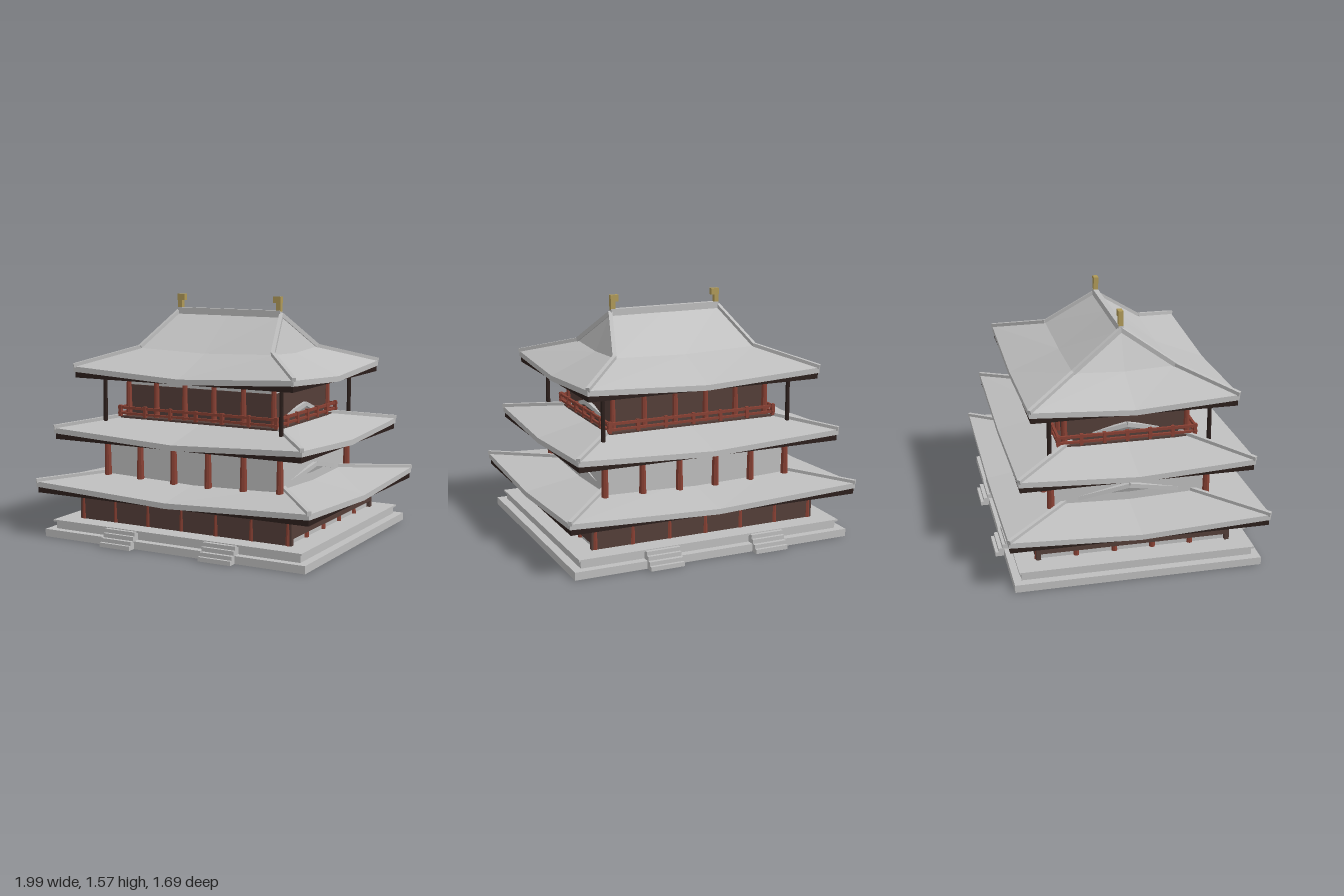
import * as THREE from 'three';

const mat = (name, color, extra = {}) => {
  const m = new THREE.MeshStandardMaterial({ color, flatShading: true, ...extra });
  m.name = name;
  return m;
};

export function createModel() {
  const stone = mat('pale grey', 0xbebebe, { side: THREE.DoubleSide });
  const brown = mat('brown wood', 0x543e38);
  const red = mat('red wood', 0x884033);
  const dark = mat('dark wood', 0x2c1f1c, { side: THREE.DoubleSide });
  const gold = mat('gold', 0xb09a58);

  const model = new THREE.Group();
  model.name = 'pavilion';

  const add = (name, geo, material, parent = model) => {
    const m = new THREE.Mesh(geo, material);
    m.name = name;
    parent.add(m);
    return m;
  };
  const group = (name) => {
    const g = new THREE.Group();
    g.name = name;
    model.add(g);
    return g;
  };
  // Box from its centre in plan, its bottom and top
  const box = (name, w, y0, y1, d, material, x = 0, z = 0, parent = model) => {
    const m = add(name, new THREE.BoxGeometry(w, y1 - y0, d), material, parent);
    m.position.set(x, (y0 + y1) / 2, z);
    return m;
  };
  // Square bar between two points
  const beam = (name, a, b, w, h, material, parent) => {
    const m = add(name, new THREE.BoxGeometry(w, h, a.distanceTo(b)), material, parent);
    m.position.copy(a).add(b).multiplyScalar(0.5);
    m.lookAt(b);
    return m;
  };
  // Eight points round a rectangle: corners at height yc, side middles at ym
  const loop = (x, z, yc, ym) => [
    [x, yc, z], [x, ym, 0], [x, yc, -z], [0, ym, -z],
    [-x, yc, -z], [-x, ym, 0], [-x, yc, z], [0, ym, z],
  ];
  // Skin joining successive loops
  const loft = (loops) => {
    const pos = [];
    for (let k = 0; k + 1 < loops.length; k++) {
      const lo = loops[k], hi = loops[k + 1];
      for (let i = 0; i < 8; i++) {
        const j = (i + 1) % 8;
        pos.push(...lo[i], ...lo[j], ...hi[j], ...lo[i], ...hi[j], ...hi[i]);
      }
    }
    const g = new THREE.BufferGeometry();
    g.setAttribute('position', new THREE.Float32BufferAttribute(pos, 3));
    g.computeVertexNormals();
    return g;
  };

  // Stone platform
  box('platformBase', 1.89, 0, 0.05, 1.58, stone);
  box('platformUpper', 1.78, 0.05, 0.1, 1.48, stone);
  box('platformRim', 1.81, 0.098, 0.11, 1.51, stone);

  // Two flights of steps on the front and back
  const steps = [[0.845, 0.028], [0.825, 0.053], [0.8, 0.08], [0.78, 0.105]];
  for (const s of [1, -1]) for (const x of [-0.365, 0.36]) {
    const g = group('stairs');
    steps.forEach(([z, h], i) => {
      box('step', 0.225, i ? steps[i - 1][1] : 0, h, z - 0.72, stone, x, s * (z + 0.72) / 2, g);
    });
  }

  // Tapered column with a stepped bracket on top
  const column = (parent, x, z, y0, y1, r) => {
    const shaft = add('column', new THREE.CylinderGeometry(r * 0.75, r, y1 - y0 - 0.015, 8), red, parent);
    shaft.position.set(x, (y0 + y1 - 0.015) / 2, z);
    box('bracketBlock', r * 2, y1 - 0.028, y1 - 0.014, r * 2, red, x, z, parent);
    box('bracket', r * 2.7, y1 - 0.015, y1, r * 2.7, red, x, z, parent);
  };
  const rows = (name, n, halfX, z, y0, y1, r) => {
    const g = group(name);
    for (const s of [1, -1]) for (let i = 0; i < n; i++) {
      column(g, -halfX + (2 * halfX * i) / (n - 1), s * z, y0, y1, r);
    }
    return g;
  };

  // Ground floor: walls, panels and columns all round
  box('groundFloorWall', 1.5, 0.11, 0.295, 1.2, stone);
  for (const s of [1, -1]) {
    box('groundFrontPanel', 1.55, 0.11, 0.276, 0.03, brown, 0, s * 0.612);
    box('groundSidePanel', 0.03, 0.15, 0.276, 1.254, brown, s * 0.76, 0);
  }
  const ground = rows('groundColumns', 7, 0.75, 0.615, 0.11, 0.305, 0.019);
  for (const s of [1, -1]) for (const z of [-0.369, -0.123, 0.123, 0.369]) {
    column(ground, s * 0.75, z, 0.11, 0.305, 0.019);
  }

  // Middle floor
  box('middleFloorWall', 1.24, 0.33, 0.61, 0.97, stone);
  rows('middleColumns', 6, 0.635, 0.505, 0.36, 0.65, 0.025);

  // Top floor with its balcony
  box('topFloorWall', 1.05, 0.78, 1.015, 0.75, stone);
  for (const s of [1, -1]) {
    box('topFrontPanel', 1.04, 0.78, 0.99, 0.012, brown, 0, s * 0.377);
    box('topSidePanel', 0.012, 0.78, 0.99, 0.76, brown, s * 0.527, 0);
  }
  box('balconyDeck', 1.15, 0.772, 0.785, 0.88, brown);
  rows('topColumns', 6, 0.535, 0.395, 0.785, 1.045, 0.021);

  // Balcony railing
  const rail = group('balconyRailing');
  for (const s of [1, -1]) {
    for (const [y0, y1] of [[0.797, 0.811], [0.833, 0.85]]) {
      box('railFront', 1.18, y0, y1, 0.016, red, 0, s * 0.44, rail);
      box('railSide', 0.016, y0, y1, 0.91, red, s * 0.575, 0, rail);
    }
    for (let i = 0; i < 7; i++) {
      const t = i / 3 - 1;
      box('railPost', 0.022, 0.783, 0.856, 0.022, red, t * 0.575, s * 0.44, rail);
      if (i > 0 && i < 6) box('railPost', 0.022, 0.783, 0.856, 0.022, red, s * 0.575, t * 0.44, rail);
    }
  }

  // Thin corner posts carrying the top eaves
  for (const sx of [1, -1]) for (const sz of [1, -1]) {
    const p = add('cornerPost', new THREE.CylinderGeometry(0.013, 0.015, 0.34, 8), dark);
    p.position.set(sx * 0.645, 0.9, sz * 0.51);
  }

  // Hipped roofs: y = eave underside, eave size, bend ring, ridge, soffit opening
  const roofs = [
    { name: 'lowerRoof', y: 0.295, eave: [0.985, 0.825], ring: [0.6, 0.4, 0.41], ridge: [0.64, 0.497], hole: [0.78, 0.635] },
    { name: 'middleRoof', y: 0.645, eave: [0.895, 0.742], ring: [0.5, 0.325, 0.79], ridge: [0.56, 0.882], hole: [0.67, 0.535] },
    { name: 'topRoof', y: 1.045, eave: [0.795, 0.652], ring: [0.49, 0.325, 1.228], ridge: [0.385, 1.45], hole: [0.575, 0.43] },
  ];
  for (const { name, y, eave: [ex, ez], ring: [bx, bz, by], ridge: [rx, ry], hole } of roofs) {
    const g = group(name);
    add('roofTiles', loft([
      loop(ex, ez, y + 0.04, y),
      loop(ex, ez, y + 0.075, y + 0.035),
      loop(bx, bz, by, by - 0.015),
      loop(rx, 0, ry, ry),
    ]), stone, g);
    add('soffit', loft([
      loop(hole[0], hole[1], y + 0.002, y + 0.002),
      loop(ex - 0.008, ez - 0.008, y + 0.002, y + 0.002),
      loop(ex - 0.008, ez - 0.008, y + 0.055, y + 0.015),
    ]), dark, g);
    for (const sx of [1, -1]) for (const sz of [1, -1]) {
      const path = [[ex, y + 0.08, ez], [bx, by + 0.005, bz], [rx, ry + 0.005, 0]]
        .map(([px, py, pz]) => new THREE.Vector3(px * sx, py, pz * sz));
      beam('hipLower', path[0], path[1], 0.025, 0.028, stone, g);
      beam('hipUpper', path[1], path[2], 0.025, 0.028, stone, g);
    }
  }

  // Main ridge with a hooked ornament at each end
  box('mainRidge', 0.77, 1.435, 1.482, 0.034, stone);
  for (const s of [1, -1]) {
    box('ornamentStem', 0.032, 1.475, 1.57, 0.03, gold, s * 0.37);
    box('ornamentHead', 0.055, 1.53, 1.572, 0.032, gold, s * 0.36);
  }

  return model;
}
